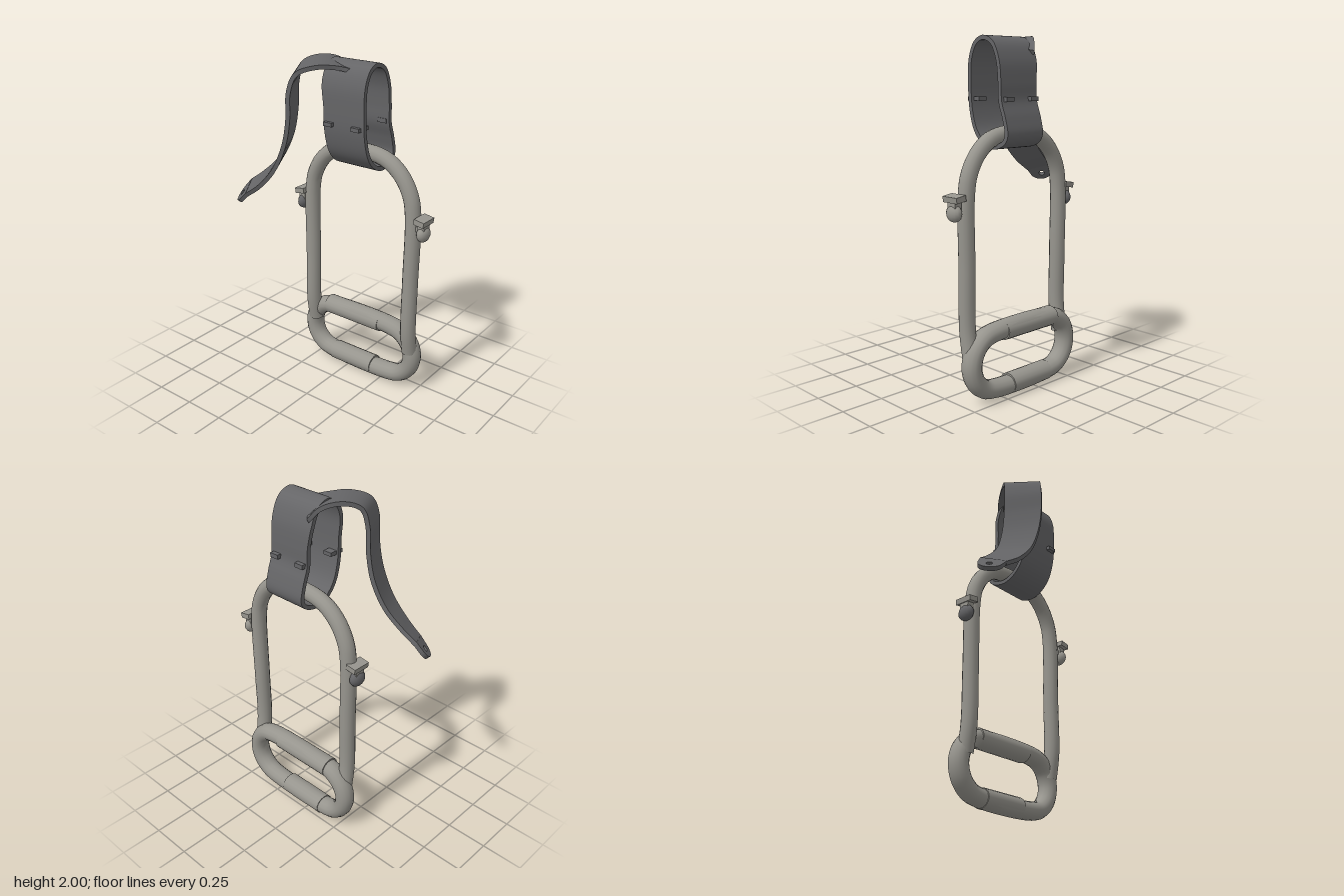
import * as THREE from 'three';

const metal = new THREE.MeshStandardMaterial({ color: 0x97958e });
metal.name = 'warm grey metal';
const leather = new THREE.MeshStandardMaterial({ color: 0x656567 });
leather.name = 'dark grey strap';

const V = (x, y, z) => new THREE.Vector3(x, y, z);

function add(parent, name, geometry, material, x = 0, y = 0, z = 0) {
  const mesh = new THREE.Mesh(geometry, material);
  mesh.name = name;
  mesh.position.set(x, y, z);
  parent.add(mesh);
  return mesh;
}

// Thick band swept between two edge curves
function ribbon(edgeA, edgeB, closed, half, steps) {
  const ca = new THREE.CatmullRomCurve3(edgeA, closed);
  const cb = new THREE.CatmullRomCurve3(edgeB, closed);
  const rings = [];
  for (let i = 0; i <= steps; i++) {
    const t = i / steps;
    const a = ca.getPoint(t), b = cb.getPoint(t);
    const along = ca.getTangent(t).add(cb.getTangent(t));
    const n = along.cross(b.clone().sub(a)).normalize().multiplyScalar(half);
    rings.push([a.clone().add(n), b.clone().add(n), b.clone().sub(n), a.clone().sub(n)]);
  }
  const pos = [], index = [];
  for (let s = 0; s < 4; s++) {
    const base = pos.length / 3;
    rings.forEach((r) => pos.push(...r[s].toArray(), ...r[(s + 1) % 4].toArray()));
    for (let i = 0; i < steps; i++) {
      const p = base + i * 2;
      index.push(p, p + 2, p + 1, p + 1, p + 2, p + 3);
    }
  }
  if (!closed) {
    [rings[0], rings[steps]].forEach((r, end) => {
      const base = pos.length / 3;
      r.forEach((p) => pos.push(...p.toArray()));
      if (end) index.push(base, base + 2, base + 1, base, base + 3, base + 2);
      else index.push(base, base + 1, base + 2, base, base + 2, base + 3);
    });
  }
  const g = new THREE.BufferGeometry();
  g.setAttribute('position', new THREE.Float32BufferAttribute(pos, 3));
  g.setIndex(index);
  g.computeVertexNormals();
  return g;
}

export function createModel() {
  const model = new THREE.Group();
  model.name = 'strapAndStirrup';

  // Arched frame: two legs joined by a rounded top
  const mid = 0.098, halfW = 0.357, frameX = 0.147;
  const halfArch = [[halfW, 0.27, 0.17], [halfW, 0.42, 0.147], [halfW, 0.75, frameX], [halfW, 1.16, frameX],
    [0.335, 1.27, frameX], [0.27, 1.375, frameX], [0.17, 1.445, frameX]];
  const arch = [
    ...halfArch.map(([z, y, x]) => V(x, y, mid + z)),
    V(frameX, 1.468, mid),
    ...halfArch.slice().reverse().map(([z, y, x]) => V(x, y, mid - z)),
  ];
  add(model, 'archFrame', new THREE.TubeGeometry(new THREE.CatmullRomCurve3(arch), 90, 0.046, 14), metal);

  // Foot ring: stadium loop
  const ringX = 0.19, ringY = 0.222, ringR = 0.162, ringHalf = 0.212, ringZ = 0.09;
  const loop = [];
  for (const side of [1, -1]) {
    for (let i = 0; i <= 6; i++) {
      const a = Math.PI / 2 - (i / 6) * Math.PI;
      loop.push(V(ringX, ringY + side * ringR * Math.sin(a), ringZ + side * (ringHalf + ringR * Math.cos(a))));
    }
  }
  const ring = add(model, 'footRing',
    new THREE.TubeGeometry(new THREE.CatmullRomCurve3(loop, true), 96, 0.054, 14, true), metal);
  ring.scale.x = 1.1;
  ring.position.x = -ringX * 0.1;

  // Sleeves around the straight bars
  [['upperSleeve', ringY + ringR, 0.4], ['lowerSleeve', ringY - ringR, 0.3]].forEach(([name, y, length]) => {
    const g = new THREE.CylinderGeometry(0.058, 0.058, length, 16);
    g.rotateX(Math.PI / 2);
    add(model, name, g, metal, ringX, y, 0.04).scale.x = 1.1;
  });

  // Side clips: cap bar, short post and rounded knob
  [['frontClip', 0.53, 1, metal], ['rearClip', -0.315, -1, leather]].forEach(([name, z, out, knobMaterial]) => {
    const clip = new THREE.Group();
    clip.name = name;
    clip.position.set(0.138, 0, z);
    const cap = add(clip, 'clipCap', new THREE.BoxGeometry(0.11, 0.032, 0.065), metal, 0, 1.147, 0);
    cap.rotation.x = out * 0.15;
    add(clip, 'clipPost', new THREE.BoxGeometry(0.06, 0.05, 0.045), metal, 0, 1.115, 0);
    const knob = add(clip, 'clipKnob', new THREE.SphereGeometry(0.05, 14, 10), knobMaterial, 0, 1.07, 0.003 * out);
    knob.scale.set(1.05, 0.95, 0.68);
    add(clip, 'clipPin', new THREE.BoxGeometry(0.04, 0.03, 0.08), metal, 0, 1.095, -0.02 * out);
    model.add(clip);
  });

  // Strap loop passing under the arch top
  const profile = [[0.06, 1.978], [0.13, 1.95], [0.175, 1.86], [0.19, 1.74], [0.195, 1.64], [0.225, 1.55],
    [0.241, 1.46], [0.215, 1.42], [0.13, 1.396], [0.06, 1.42], [0, 1.485], [-0.036, 1.6],
    [-0.045, 1.74], [-0.038, 1.87], [0, 1.95]];
  add(model, 'strapLoop', ribbon(
    profile.map(([x, y]) => V(x, y, 0.255)),
    profile.map(([x, y]) => V(x, y, y > 1.8 ? -0.03 : -0.015)),
    true, 0.012, 90), leather);

  // Hanging tail: pairs of edge points
  const tail = [
    [[-0.01, 1.945, 0.13], [0.19, 1.90, -0.01]],
    [[-0.06, 1.96, 0.07], [0.14, 1.965, -0.06]],
    [[-0.14, 1.965, 0.0], [0.05, 1.983, -0.13]],
    [[-0.215, 1.93, -0.075], [-0.02, 1.95, -0.185]],
    [[-0.245, 1.84, -0.1], [-0.045, 1.86, -0.205]],
    [[-0.248, 1.7, -0.105], [-0.05, 1.7, -0.212]],
    [[-0.25, 1.55, -0.135], [-0.06, 1.55, -0.24]],
    [[-0.257, 1.39, -0.21], [-0.085, 1.4, -0.31]],
    [[-0.262, 1.27, -0.32], [-0.11, 1.3, -0.41]],
    [[-0.26, 1.195, -0.425], [-0.13, 1.235, -0.495]],
  ];
  const edge = (k) => tail.map((pair) => V(...pair[k]));
  add(model, 'strapTail', ribbon(edge(0), edge(1), false, 0.012, 70), leather);

  // Rounded strap tip with an eyelet hole
  const [a, b] = tail[tail.length - 1].map((p) => V(...p));
  const u = b.clone().sub(a);
  const w = u.length() / 2;
  u.normalize();
  const v = V(0.02, -0.07, -0.09);
  v.addScaledVector(u, -v.dot(u)).normalize();
  const shape = new THREE.Shape();
  shape.moveTo(-w, -0.01);
  shape.lineTo(w, -0.01);
  shape.lineTo(w * 0.9, 0.05);
  shape.bezierCurveTo(w * 0.75, 0.125, -w * 0.75, 0.125, -w * 0.9, 0.05);
  shape.closePath();
  const hole = new THREE.Path();
  hole.absarc(0, 0.055, 0.018, 0, Math.PI * 2, true);
  shape.holes.push(hole);
  const tipGeometry = new THREE.ExtrudeGeometry(shape, { depth: 0.024, bevelEnabled: false, curveSegments: 12 });
  tipGeometry.translate(0, 0, -0.012);
  const basis = new THREE.Matrix4().makeBasis(u, v, u.clone().cross(v));
  basis.setPosition(a.clone().add(b).multiplyScalar(0.5));
  tipGeometry.applyMatrix4(basis);
  add(model, 'strapTip', tipGeometry, leather);

  // Small pins through the loop walls
  for (const z of [0.21, 0.025]) {
    add(model, 'innerPin', new THREE.BoxGeometry(0.09, 0.022, 0.055), leather, -0.032, 1.652, z);
    add(model, 'outerPin', new THREE.BoxGeometry(0.055, 0.025, 0.055), leather, 0.203, 1.652, z);
  }

  return model;
}
